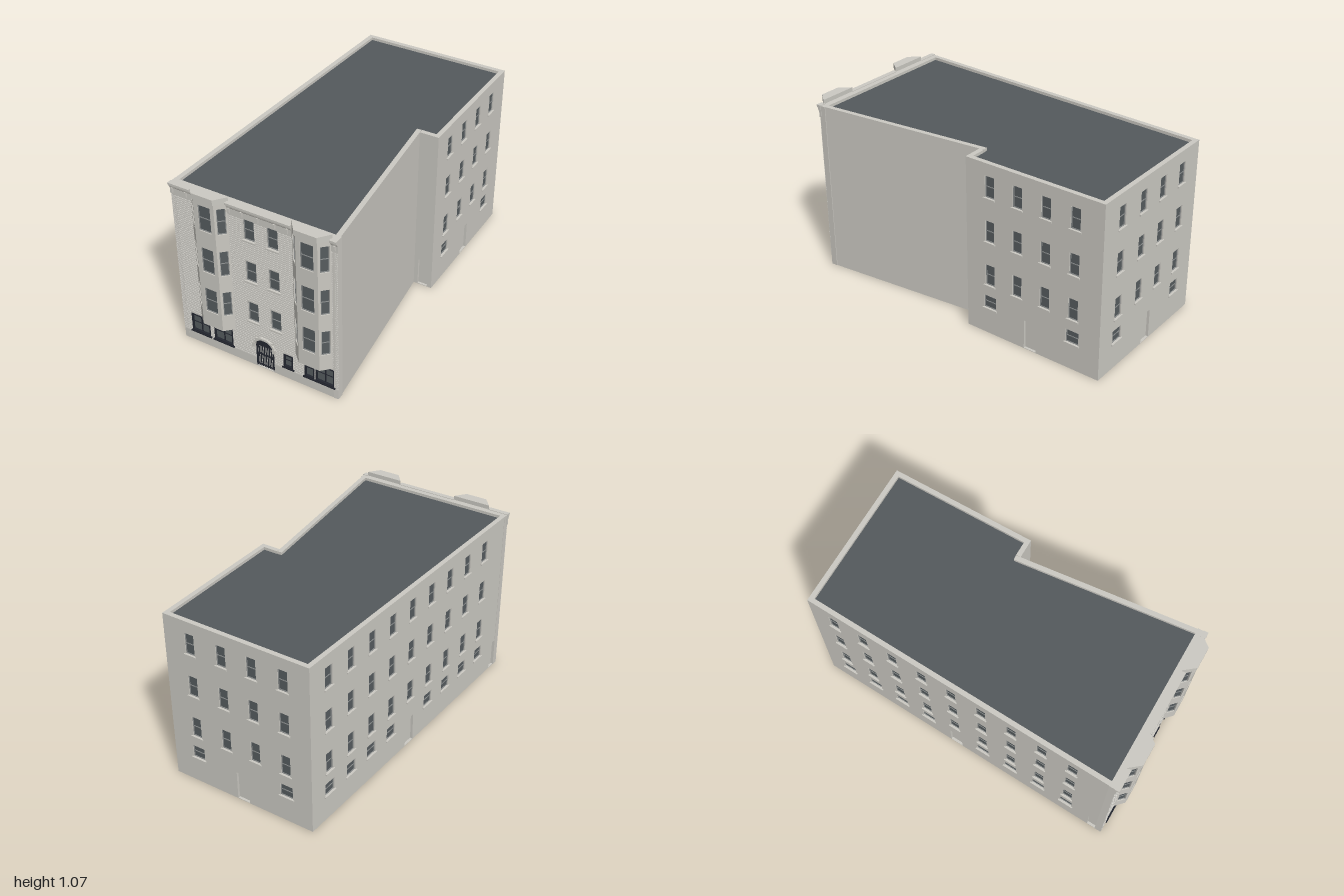
import * as THREE from 'three';

const mat = (name, color) => {
  const m = new THREE.MeshStandardMaterial({ color });
  m.name = name;
  return m;
};
const M = {
  wall: mat('stone wall', 0xcbc9c2),
  brick: mat('pale brick', 0xd9d7d1),
  roof: mat('roof grey', 0x54595c),
  glass: mat('window glass', 0x565c5f),
  sash: mat('window sash', 0x8c8f8f),
  iron: mat('dark iron', 0x23262f),
};
M.roof.side = THREE.DoubleSide;

const H = 1.045, T = 0.028;

function add(parent, name, geo, material) {
  const m = new THREE.Mesh(geo, material);
  m.name = name;
  parent.add(m);
  return m;
}
// Box given by its left, bottom, width, height and depth range
function box(parent, name, material, x, y, w, h, z0, z1) {
  const g = new THREE.BoxGeometry(w, h, z1 - z0);
  g.translate(x + w / 2, y + h / 2, (z0 + z1) / 2);
  return add(parent, name, g, material);
}
// Ground plan of [x, z] corners raised from y to y + h
function plan(parent, name, material, pts, y, h) {
  const s = new THREE.Shape(pts.map(([x, z]) => new THREE.Vector2(x, -z)));
  const g = new THREE.ExtrudeGeometry(s, { depth: h, bevelEnabled: false });
  g.rotateX(-Math.PI / 2).translate(0, y, 0);
  return add(parent, name, g, material);
}
function rectPath(x, y, w, h, P = THREE.Path) {
  return new P([[x, y], [x + w, y], [x + w, y + h], [x, y + h]].map(p => new THREE.Vector2(...p)));
}
function archPath(x, y, w, spring) {
  const p = new THREE.Path(), r = w / 2;
  p.moveTo(x, y);
  p.lineTo(x + w, y);
  p.lineTo(x + w, spring);
  p.absarc(x + r, spring, r, 0, Math.PI, false);
  p.lineTo(x, y);
  return p;
}
const win = (cx, y, w, h, sill = true) => ({ kind: 'window', x: cx - w / 2, y, w, h, sill });
const door = (cx, w = 0.08, h = 0.18) => ({ kind: 'door', x: cx - w / 2, y: 0.003, w, h: h - 0.003 });

// Glass, frame, meeting rail and sill in an opening
function fillWindow(g, o) {
  const { x, y, w, h } = o, dark = o.dark, f = dark ? 0.006 : 0.004;
  const m = dark ? M.iron : M.sash, z = dark ? 0.004 : -0.006;
  box(g, 'glass', M.glass, x, y, w, h, -0.014, -0.01);
  for (const dx of [0, w - f]) box(g, 'windowFrame', m, x + dx, y, f, h, -0.012, z);
  for (const dy of [0, h - f]) box(g, 'windowFrame', m, x, y + dy, w, f, -0.012, z);
  box(g, 'windowRail', m, x, y + h / 2 - 0.002, w, 0.004, -0.012, -0.007);
  if (o.cross) box(g, 'windowMullion', m, x + w / 2 - 0.003, y, 0.006, h, -0.012, -0.005);
  if (o.sill) box(g, 'windowSill', dark ? M.iron : M.wall, x - 0.008, y - 0.009, w + 0.016, 0.009, -0.005, 0.008);
}

// Wall panel from a to b; local x runs along it and local z points outward
function wall(parent, name, a, b, y0, y1, openings, skin = 0.015, inner = 0.013) {
  const g = new THREE.Group();
  g.name = name;
  const dx = b[0] - a[0], dz = b[1] - a[1], L = Math.hypot(dx, dz);
  g.position.set(a[0], 0, a[1]);
  g.rotation.y = Math.atan2(-dz, dx);
  const s = rectPath(0, y0, L, y1 - y0, THREE.Shape);
  for (const o of openings) {
    s.holes.push(o.kind === 'arch' ? archPath(o.x, o.y, o.w, o.spring) : rectPath(o.x, o.y, o.w, o.h));
  }
  const geo = new THREE.ExtrudeGeometry(s, { depth: skin, bevelEnabled: false, curveSegments: 16 });
  add(g, 'wallFace', geo.translate(0, 0, -skin), M.wall);
  if (inner) box(g, 'wallBacking', M.wall, 0, y0, L, y1 - y0, -skin - inner, -skin);
  for (const o of openings) {
    if (o.kind === 'window') fillWindow(g, o);
    if (o.kind === 'door') {
      box(g, 'doorBack', M.glass, o.x, o.y, o.w, o.h, -skin - inner - 0.006, -skin - inner);
    }
  }
  parent.add(g);
  return g;
}

const ROWS = [0.31, 0.58, 0.845];
// Upper windows in every column, small basement windows in the listed ones
const grid = (cols, low) => [
  ...cols.flatMap(c => ROWS.map(y => win(c, y, 0.06, 0.127))),
  ...low.map(c => win(c, 0.162, 0.08, 0.078)),
];

// Horizontal brick courses, interrupted by the openings
function brickCourses(g, L, openings) {
  const pitch = 0.0128;
  for (let y = 0.062; y < 0.965; y += pitch) {
    const h = pitch * 0.62;
    const cuts = openings.filter(o => y + h > o.y - 0.009 && y < o.y + o.h + 0.002)
      .map(o => [o.x - 0.002, o.x + o.w + 0.002]).sort((p, q) => p[0] - q[0]);
    let x = 0;
    for (const [c0, c1] of [...cuts, [L, L]]) {
      if (c0 - x > 0.002) box(g, 'brickCourse', M.brick, x, y, c0 - x, h, -0.001, 0.002);
      x = Math.max(x, c1);
    }
  }
}

// Iron gate and stone surround of the arched entrance
function entrance(g, o) {
  const r = o.w / 2, cx = o.x + r, n = 10;
  for (let i = 0; i <= n; i++) {
    const u = -r + 0.003 + (i / n) * (o.w - 0.006);
    const top = o.spring + Math.sqrt(Math.max(0, r * r - u * u));
    box(g, 'gateBar', M.iron, cx + u - 0.0017, 0.003, 0.0034, top - 0.003, -0.012, -0.007);
    if (i < n) box(g, 'fanBar', M.iron, cx + u + 0.0035, o.spring, 0.004, Math.max(0.004, top - o.spring - 0.006), -0.012, -0.007);
  }
  for (const y of [0.01, 0.085, o.spring - 0.003]) box(g, 'gateRail', M.iron, o.x, y, o.w, 0.006, -0.013, -0.006);
  box(g, 'gateLock', M.iron, o.x + o.w - 0.018, 0.08, 0.013, 0.016, -0.013, -0.003);
  for (const dx of [0, o.w - 0.005]) box(g, 'gatePost', M.iron, o.x + dx, 0.003, 0.005, o.spring, -0.014, -0.002);
  const rim = new THREE.TorusGeometry(r - 0.003, 0.004, 6, 20, Math.PI);
  add(g, 'gateArch', rim.translate(cx, o.spring, -0.008), M.iron);
  const s = new THREE.Shape();
  s.absarc(0, 0, r + 0.013, 0, Math.PI, false);
  s.absarc(0, 0, r, Math.PI, 0, true);
  const ring = new THREE.ExtrudeGeometry(s, { depth: 0.012, bevelEnabled: false, curveSegments: 16 });
  add(g, 'archSurround', ring.translate(cx, o.spring, 0), M.wall);
  for (const side of [-1, 1]) {
    box(g, 'archFoot', M.wall, cx + side * (r + 0.007) - 0.008, o.spring - 0.006, 0.016, 0.026, 0, 0.014);
    box(g, 'archShoulder', M.wall, cx + side * 0.045 - 0.009, o.spring + 0.04, 0.018, 0.018, 0, 0.01);
  }
  box(g, 'keystone', M.wall, cx - 0.018, o.spring + r, 0.036, 0.013, 0, 0.015);
}

// Three-sided bay window with a projecting cap
function bay(parent, cx) {
  const z0 = 0.94, z1 = 0.99, W = 0.115, F = 0.063, y0 = 0.204, y1 = 1.04;
  const g = new THREE.Group();
  g.name = 'bayWindow';
  const P = [[cx - W, z0], [cx - F, z1], [cx + F, z1], [cx + W, z0]];
  const side = Math.hypot(W - F, z1 - z0);
  P.slice(0, 3).forEach((p, i) => {
    const w = i === 1 ? 0.078 : 0.047, L = i === 1 ? 2 * F : side;
    wall(g, i === 1 ? 'bayFront' : 'baySide', p, P[i + 1], y0, y1,
      [0.306, 0.575, 0.844].map(y => win(L / 2, y, w, 0.16, false)), 0.015, 0);
  });
  const k = 0.014;
  plan(g, 'bayCore', M.wall, [[cx - W + k, z0 - 0.01], [cx - W + k + 0.006, z0], [cx - F + 0.006, z1 - k],
    [cx + F - 0.006, z1 - k], [cx + W - k - 0.006, z0], [cx + W - k, z0 - 0.01]], y0 + 0.001, y1 - y0 - 0.001);
  plan(g, 'bayCap', M.wall, [[cx - W - 0.002, z0 - 0.004], [cx - F - 0.002, 1], [cx + F + 0.002, 1], [cx + W + 0.002, z0 - 0.004]], 1.036, 0.034);
  parent.add(g);
}

// Moulded cornice with frieze and brackets between x0 and x1
function cornice(parent, x0, x1, brackets) {
  const prof = [[-0.01, 0.975], [0.004, 0.975], [0.004, 1.012], [0.01, 1.02], [0.012, 1.03], [0.02, 1.036], [0.02, 1.048], [-0.01, 1.048]];
  const s = new THREE.Shape(prof.map(p => new THREE.Vector2(...p)));
  const geo = new THREE.ExtrudeGeometry(s, { depth: x1 - x0, bevelEnabled: false });
  add(parent, 'cornice', geo.rotateY(-Math.PI / 2).translate(x1, 0, 0.94), M.wall);
  for (const x of brackets) box(parent, 'corniceBracket', M.wall, x - 0.005, 0.986, 0.01, 0.03, 0.94, 0.954);
}

export function createModel() {
  const root = new THREE.Group();
  root.name = 'apartmentBuilding';
  const A = [-0.5, 0.94], B = [0.495, 0.94], C = [0.38, -0.125], D = [0.495, -0.125], E = [0.495, -0.99], F = [-0.415, -0.99];

  // Front wall
  const fx = x => x + 0.5;
  const shop = (x0, x1, y, h, cross) => ({ ...win(fx((x0 + x1) / 2), y, x1 - x0, h), dark: true, cross });
  const gate = { kind: 'arch', x: fx(-0.021), y: 0.003, w: 0.116, h: 0.207, spring: 0.152 };
  const front = [
    ...[-0.024, 0.117].flatMap(c => ROWS.map(y => win(fx(c), y, 0.064, 0.127))),
    shop(-0.443, -0.322, 0.074, 0.118, true), shop(-0.293, -0.171, 0.074, 0.118, true),
    shop(0.157, 0.214, 0.08, 0.087, false), shop(0.288, 0.347, 0.074, 0.118, false),
    shop(0.356, 0.469, 0.074, 0.118, true), gate,
  ];
  const fw = wall(root, 'frontWall', A, B, 0, H, front, 0.028, 0.012);
  brickCourses(fw, 0.995, front);
  entrance(fw, gate);
  bay(root, -0.26);
  bay(root, 0.348);
  cornice(root, -0.503, -0.37, [-0.486, -0.4]);
  cornice(root, -0.15, 0.236, [-0.134, -0.058, 0.038, 0.137, 0.211]);
  cornice(root, 0.458, 0.498, [0.482]);

  // Plain slanted wall, run on past the inner corner
  const k = T / 1.071;
  wall(root, 'slantedWall', B, [C[0] - 0.115 * k, C[1] - 1.065 * k], 0, H, []);
  wall(root, 'recessWall', C, D, 0, H, [door(0.06, 0.07)]);

  // Right wall, back wall and long left wall
  const rc = [0.155, 0.335, 0.515, 0.695];
  wall(root, 'sideWall', D, E, 0, H, [...grid(rc, [rc[0], rc[3]]), door(0.425)]);
  const bc = [0.165, 0.365, 0.555, 0.748];
  wall(root, 'backWall', E, F, 0, H, [...grid(bc, [bc[0], bc[3]]), door(0.46)]);
  const lc = Array.from({ length: 9 }, (_, i) => 0.155 + i * 0.1905);
  wall(root, 'longWall', F, A, 0, H, [...grid(lc, lc.filter((_, i) => i !== 4)), door(lc[4]), door(1.872, 0.07)]);

  // Flat roof sunk behind the parapet
  plan(root, 'roof', M.roof, [[-0.48, 0.91], [0.47, 0.91], [0.355, -0.15], [0.475, -0.15], [0.475, -0.97], [-0.395, -0.97]], 1.02, 0.008);
  return root;
}
